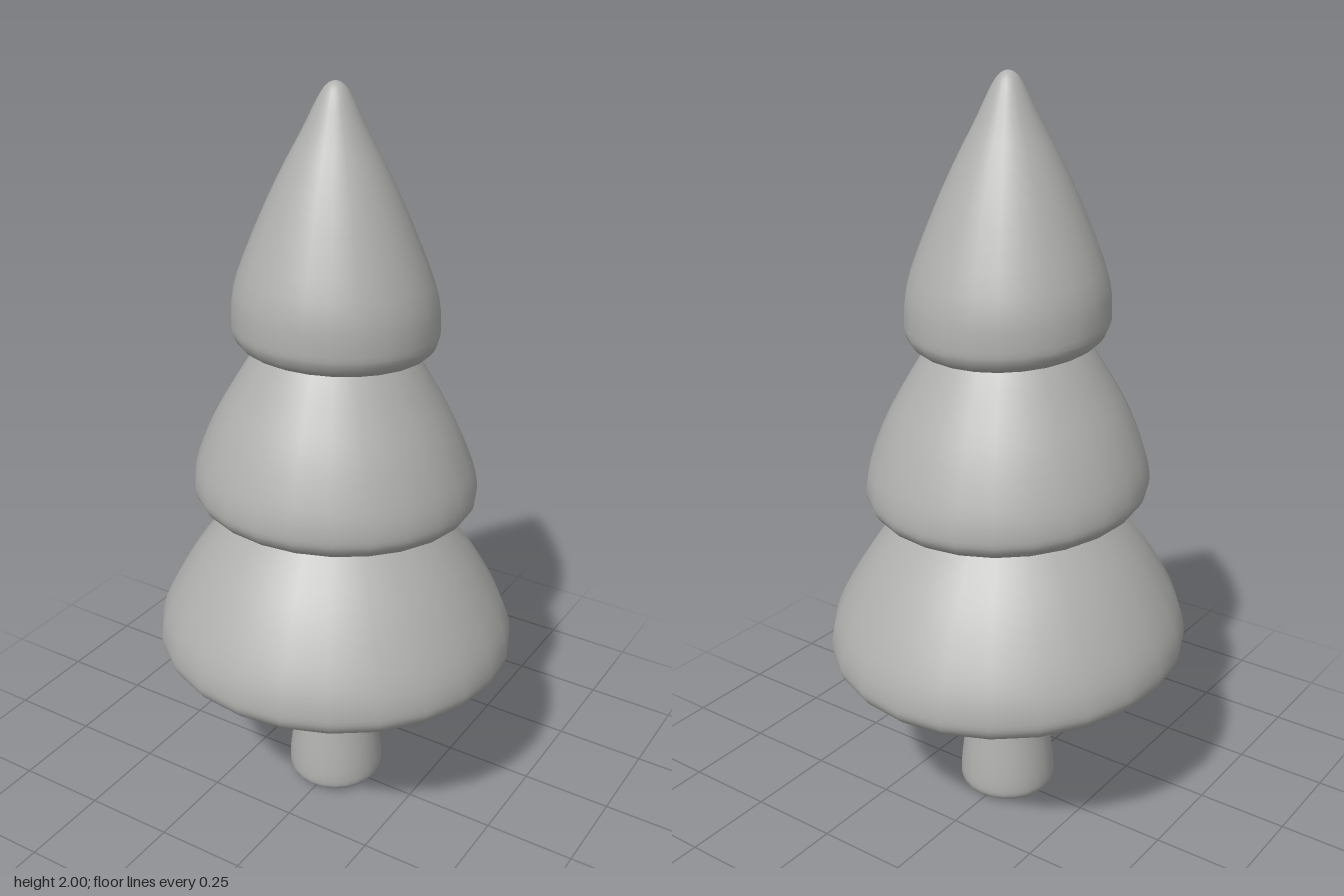
import * as THREE from 'three';

const SIDES = 24;

// Smooth turned solid; profile runs from the bottom centre outward and up to the axis.
// tilt raises the front (+z) and lowers the back without shifting the outline sideways.
function turned(name, profile, material, tilt = 0) {
  const curve = new THREE.SplineCurve(profile.map(([r, y]) => new THREE.Vector2(r, y)));
  const points = curve.getPoints(profile.length * 3);
  points.forEach((p) => { p.x = Math.max(0, p.x); });
  const geometry = new THREE.LatheGeometry(points, SIDES);
  geometry.applyMatrix4(new THREE.Matrix4().set(
    1, 0, 0, 0,
    0, 1, tilt, 0,
    0, 0, 1, 0,
    0, 0, 0, 1));
  const mesh = new THREE.Mesh(geometry, material);
  mesh.name = name;
  return mesh;
}

export function createModel() {
  const grey = new THREE.MeshStandardMaterial({ color: 0xb0b0ae });
  grey.name = 'plain grey';

  const tree = new THREE.Group();
  tree.name = 'tree';

  // Trunk, flared toward a rounded foot
  tree.add(turned('trunk', [
    [0, 0.005], [0.06, 0.005], [0.105, 0.01], [0.128, 0.025], [0.133, 0.055],
    [0.127, 0.12], [0.113, 0.22], [0.102, 0.34], [0.095, 0.46], [0, 0.47],
  ], grey));

  // Three stacked foliage tiers, each tilted slightly more than the one below
  tree.add(turned('lowerFoliage', [
    [0, 0.432], [0.2, 0.432], [0.39, 0.434], [0.45, 0.448], [0.478, 0.475], [0.484, 0.51],
    [0.471, 0.57], [0.43, 0.655], [0.363, 0.76], [0.27, 0.87], [0.18, 0.95], [0, 1.0],
  ], grey, 0.048));

  tree.add(turned('middleFoliage', [
    [0, 0.884], [0.15, 0.884], [0.29, 0.886], [0.34, 0.898], [0.366, 0.922], [0.374, 0.955],
    [0.362, 1.02], [0.318, 1.13], [0.26, 1.235], [0.2, 1.33], [0.13, 1.41], [0, 1.46],
  ], grey, 0.068));

  tree.add(turned('upperFoliage', [
    [0, 1.322], [0.1, 1.322], [0.19, 1.325], [0.235, 1.337], [0.257, 1.362], [0.264, 1.4],
    [0.252, 1.5], [0.19, 1.66], [0.132, 1.785], [0.082, 1.88], [0.04, 1.965], [0.018, 1.993], [0, 2.0],
  ], grey, 0.08));

  return tree;
}
